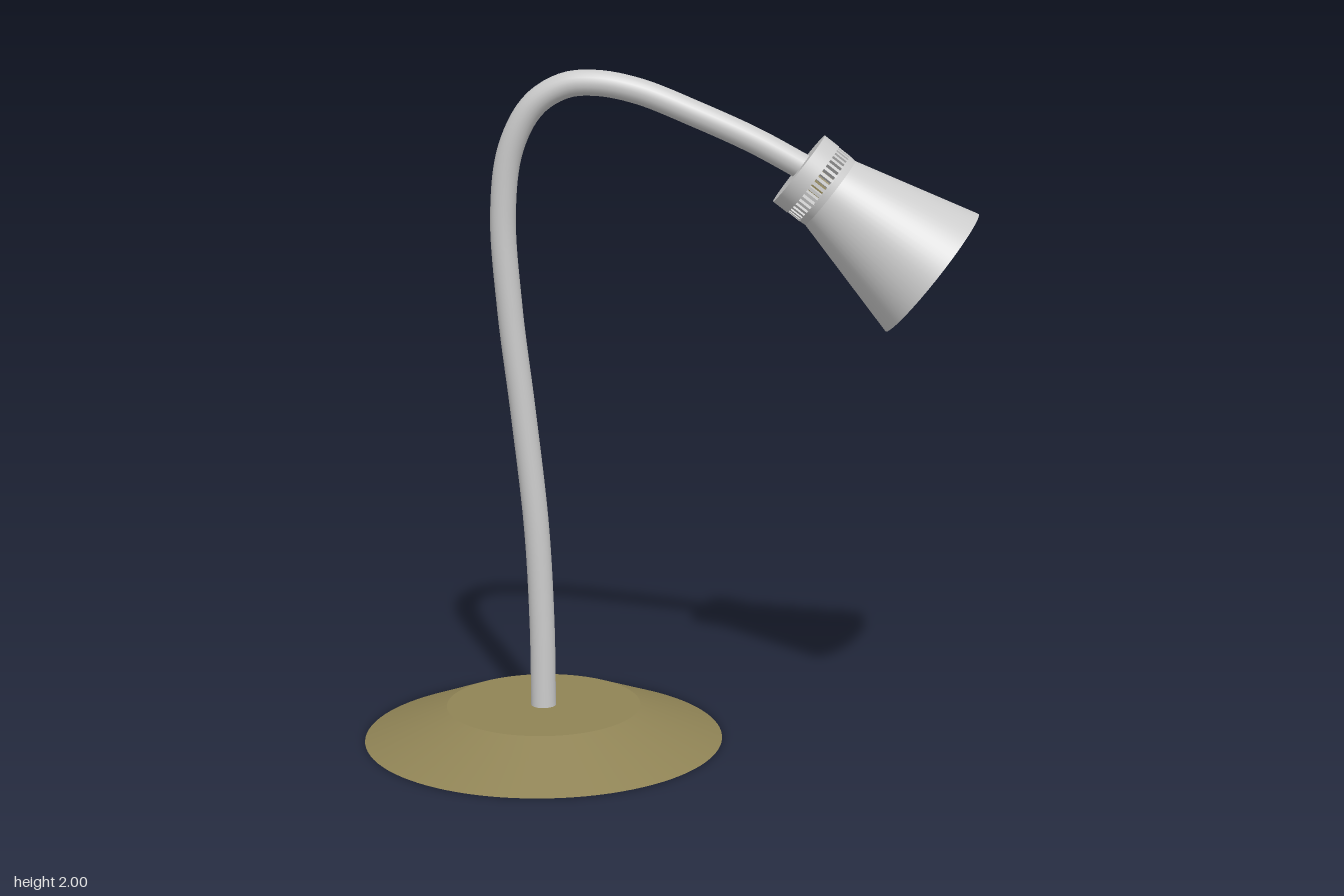
import * as THREE from 'three';

const grey = new THREE.MeshStandardMaterial({ color: 0xcccccc, side: THREE.DoubleSide });
const ochre = new THREE.MeshStandardMaterial({ color: 0x8f8355, side: THREE.DoubleSide });

function add(parent, name, geometry, material = grey) {
  const mesh = new THREE.Mesh(geometry, material);
  mesh.name = name;
  parent.add(mesh);
  return mesh;
}

// Lathe with hard corners: each straight run of the profile is its own surface
function addTurned(parent, name, profile, material = grey, segments = 64) {
  const part = new THREE.Group();
  part.name = name;
  for (let i = 0; i < profile.length - 1; i++) {
    const run = [profile[i], profile[i + 1]].map(([r, y]) => new THREE.Vector2(r, y));
    add(part, name + 'Surface', new THREE.LatheGeometry(run, segments), material);
  }
  parent.add(part);
  return part;
}

export function createModel() {
  const lamp = new THREE.Group();
  lamp.name = 'deskLamp';

  // Hollow weighted base: sloping skirt and flat top
  const base = addTurned(lamp, 'base', [[0.532, 0], [0.288, 0.1], [0, 0.1]], ochre, 96);
  base.position.x = -0.365;

  // Gooseneck stem
  const path = new THREE.CatmullRomCurve3([
    [-0.365, 0.085, 0], [-0.367, 0.35, 0.002], [-0.38, 0.65, 0.007], [-0.415, 1.0, 0.015],
    [-0.448, 1.3, 0.025], [-0.463, 1.58, 0.034], [-0.437, 1.77, 0.04], [-0.37, 1.895, 0.043],
    [-0.28, 1.953, 0.042], [-0.19, 1.963, 0.04], [-0.07, 1.942, 0.032], [0.1, 1.876, 0.017],
    [0.26, 1.805, 0.001], [0.40, 1.73, -0.013],
  ].map((p) => new THREE.Vector3(...p)));
  add(lamp, 'stem', new THREE.TubeGeometry(path, 120, 0.037, 24));

  // Head, built along +y from the cap to the open rim
  const head = new THREE.Group();
  head.name = 'head';
  head.position.set(0.384, 1.728, -0.012);
  head.quaternion.setFromUnitVectors(
    new THREE.Vector3(0, 1, 0),
    new THREE.Vector3(0.378, -0.292, -0.033).normalize(),
  );
  lamp.add(head);

  addTurned(head, 'cap', [[0, 0], [0.118, 0], [0.118, 0.05], [0.09, 0.05]]);
  addTurned(head, 'socket', [[0.092, 0.045], [0.092, 0.11]], ochre);

  // Ring of ventilation ribs between the cap and the shade
  const ribCount = 40;
  const ribs = new THREE.Group();
  ribs.name = 'ventRibs';
  head.add(ribs);
  for (let i = 0; i < ribCount; i++) {
    const a = (i / ribCount) * Math.PI * 2;
    const rib = add(ribs, 'ventRib', new THREE.BoxGeometry(0.02, 0.046, 0.009));
    rib.position.set(Math.cos(a) * 0.106, 0.07, -Math.sin(a) * 0.106);
    rib.rotation.y = a;
  }

  // Thin conical shade with its neck
  addTurned(head, 'shade', [
    [0.09, 0.09], [0.116, 0.09], [0.114, 0.112], [0.211, 0.478],
    [0.205, 0.478], [0.108, 0.112], [0.09, 0.112],
  ]);

  // Bulb
  add(head, 'bulb', new THREE.SphereGeometry(0.094, 40, 28)).position.y = 0.2;

  return lamp;
}
